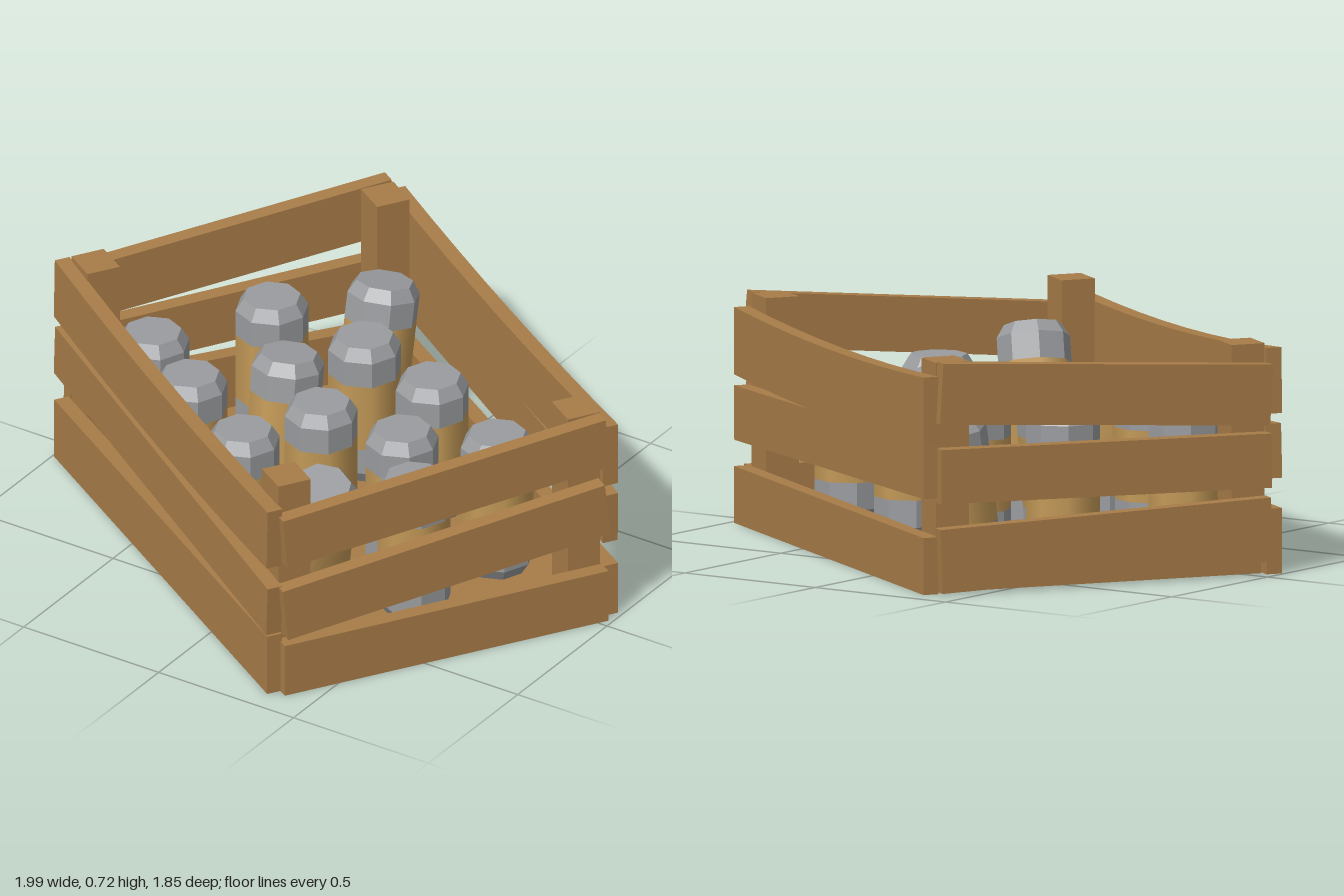
import * as THREE from 'three';

const wood = new THREE.MeshStandardMaterial({ color: 0xa87c48 });
const label = new THREE.MeshStandardMaterial({ color: 0xc49a58 });
const metal = new THREE.MeshStandardMaterial({ color: 0x9a9c9f, flatShading: true });

function add(parent, name, geometry, material, x = 0, y = 0, z = 0) {
  const mesh = new THREE.Mesh(geometry, material);
  mesh.name = name;
  mesh.position.set(x, y, z);
  parent.add(mesh);
  return mesh;
}

// Slat along x: y0 and y1 are the heights of its middle line at the two ends
function slatGeometry(length, height, y0, y1, sag = 0) {
  const geo = new THREE.BoxGeometry(length, height, 0.05, sag ? 8 : 1, 1, 1);
  const p = geo.attributes.position;
  for (let i = 0; i < p.count; i++) {
    const t = p.getX(i) / (length / 2);
    p.setY(i, p.getY(i) - sag * (1 - t * t));
  }
  geo.computeVertexNormals();
  geo.rotateZ(Math.atan2(y1 - y0, length));
  geo.translate(0, (y0 + y1) / 2, 0);
  return geo;
}

function createCrate() {
  const crate = new THREE.Group();
  crate.name = 'crate';
  add(crate, 'floor', new THREE.BoxGeometry(1.525, 0.05, 1.08), wood, 0, 0.025, -0.003);

  // Corner posts
  for (const sx of [-1, 1]) for (const sz of [-1, 1])
    add(crate, 'cornerPost', new THREE.BoxGeometry(0.12, 0.68, 0.11), wood, sx * 0.71, 0.38, sz * 0.492);

  // Long slats: [name, z, height, y at -x end, y at +x end, sag]
  const longSlats = [
    ['frontBottomSlat', 0.57, 0.205, 0.1025, 0.1025, 0],
    ['frontMiddleSlat', 0.57, 0.17, 0.385, 0.292, 0],
    ['frontTopSlat', 0.57, 0.205, 0.605, 0.55, 0.025],
    ['backBottomSlat', -0.572, 0.178, 0.089, 0.089, 0],
    ['backMiddleSlat', -0.572, 0.17, 0.385, 0.345, 0],
    ['backTopSlat', -0.572, 0.21, 0.575, 0.57, 0.022],
  ];
  for (const [name, z, h, y0, y1, sag] of longSlats)
    add(crate, name, slatGeometry(1.585, h, y0, y1, sag), wood, 0, 0, z);

  // Short slats: [name, x, height, y at back end, y at front end]
  const shortSlats = [
    ['rightBottomSlat', 0.8, 0.178, 0.089, 0.089],
    ['rightMiddleSlat', 0.8, 0.178, 0.4, 0.285],
    ['rightTopSlat', 0.8, 0.172, 0.636, 0.54],
    ['leftBottomSlat', -0.8, 0.2, 0.105, 0.145],
    ['leftMiddleSlat', -0.8, 0.17, 0.37, 0.36],
    ['leftTopSlat', -0.8, 0.19, 0.63, 0.565],
  ];
  for (const [name, x, h, yBack, yFront] of shortSlats)
    add(crate, name, slatGeometry(1.1, h, yBack, yFront), wood, x, 0, 0).rotation.y = -Math.PI / 2;

  crate.rotation.y = -0.558;
  crate.position.set(-0.005, 0, 0);
  return crate;
}

// Eight-sided can with chamfered metal ends and a coloured band
const R = 0.115, H = 0.475;
const endGeometry = new THREE.LatheGeometry(
  [[R, 0.35], [R, 0.435], [0.09, H], [0, H]].map(([r, y]) => new THREE.Vector2(r, y)), 8);
const bottomGeometry = new THREE.LatheGeometry(
  [[0, 0], [0.09, 0], [R, 0.04], [R, 0.125]].map(([r, y]) => new THREE.Vector2(r, y)), 8);
const bandGeometry = new THREE.CylinderGeometry(R, R, 0.225, 8, 1, true);

function createCan(base, top) {
  const can = new THREE.Group();
  can.name = 'can';
  add(can, 'canTop', endGeometry, metal);
  add(can, 'canBottom', bottomGeometry, metal);
  add(can, 'canBand', bandGeometry, label, 0, H / 2, 0);
  const axis = new THREE.Vector3().subVectors(top, base).normalize();
  can.quaternion.setFromUnitVectors(new THREE.Vector3(0, 1, 0), axis);
  can.position.copy(base);
  return can;
}

export function createModel() {
  const model = new THREE.Group();
  model.name = 'crateOfCans';
  model.add(createCrate());

  const V = (x, y, z) => new THREE.Vector3(x, y, z);
  // Upright cans
  const upright = [
    [-0.48, -0.36], [-0.11, -0.32], [0.2, -0.23], [0.56, -0.05], [-0.67, 0.02],
    [-0.43, 0.17], [0, 0.09], [0.3, 0.09], [0.49, 0.31], [-0.11, 0.36],
  ];
  for (const [x, z] of upright) model.add(createCan(V(x, 0.05, z), V(x, 1, z)));

  // Leaning cans
  model.add(createCan(V(-0.25, 0.05, -0.555), V(-0.25, 0.515, -0.645)));
  model.add(createCan(V(-0.25, 0.05, -0.05), V(-0.25, 0.52, -0.107)));
  model.add(createCan(V(0.235, 0.145, 0.5), V(0.35, 0.593, 0.61)));
  return model;
}
